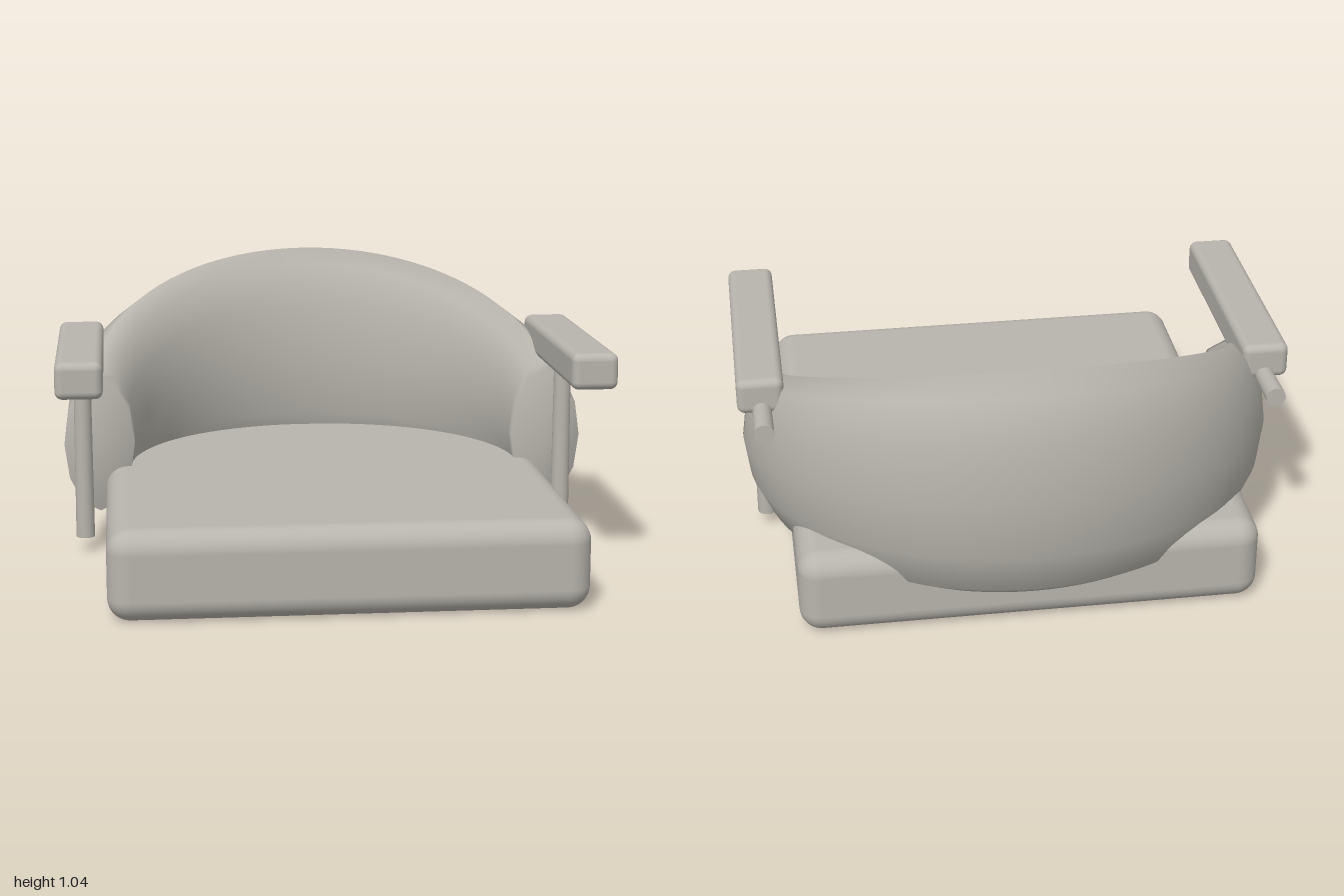
import * as THREE from 'three';
import { RoundedBoxGeometry } from 'three/addons/geometries/RoundedBoxGeometry.js';

const upholstery = new THREE.MeshStandardMaterial({ color: 0xb8b5ad });
upholstery.name = 'warm grey';

function addMesh(parent, name, geometry, x = 0, y = 0, z = 0) {
  const mesh = new THREE.Mesh(geometry, upholstery);
  mesh.name = name;
  mesh.position.set(x, y, z);
  parent.add(mesh);
  return mesh;
}

// Half-ring backrest: an elliptical section swept round the seat,
// low at both ends and rising evenly towards the back.
function backrestGeometry(arcSteps = 48, sides = 12) {
  const positions = [];
  const index = [];
  const endZ = -0.02;
  const bottom = 0.15;
  for (let i = 0; i <= arcSteps; i++) {
    const a = (i / arcSteps) * Math.PI;
    const s = Math.sin(a);
    const halfWidth = 0.132 + 0.015 * s;
    const top = 0.665 + 0.375 * s;
    const halfHeight = (top - bottom) / 2;
    for (let j = 0; j < sides; j++) {
      const b = (j / sides) * Math.PI * 2;
      const u = halfWidth * Math.cos(b);
      positions.push(
        (0.853 + u) * Math.cos(a),
        bottom + halfHeight * (1 + Math.sin(b)),
        endZ - (0.807 + u) * s
      );
    }
  }
  const at = (i, j) => i * sides + (j % sides);
  for (let i = 0; i < arcSteps; i++) {
    for (let j = 0; j < sides; j++) {
      index.push(at(i, j), at(i + 1, j), at(i, j + 1));
      index.push(at(i + 1, j), at(i + 1, j + 1), at(i, j + 1));
    }
  }
  // Close the two front ends
  for (const [ring, x] of [[0, 0.853], [arcSteps, -0.853]]) {
    const centre = positions.length / 3;
    positions.push(x, 0.4075, endZ);
    for (let j = 0; j < sides; j++) {
      index.push(centre, at(ring, j + (ring ? 1 : 0)), at(ring, j + (ring ? 0 : 1)));
    }
  }
  // Normals are shared with the ends for a soft, padded look
  const geometry = new THREE.BufferGeometry();
  geometry.setAttribute('position', new THREE.Float32BufferAttribute(positions, 3));
  geometry.setIndex(index);
  geometry.computeVertexNormals();
  return geometry;
}

export function createModel() {
  const model = new THREE.Group();
  model.name = 'armchair';

  addMesh(model, 'seat', new RoundedBoxGeometry(1.66, 0.32, 1.76, 5, 0.08), 0, 0.16, 0.09);
  addMesh(model, 'backrest', backrestGeometry());

  // Arm pads with their bent tube supports
  for (const side of [1, -1]) {
    const arm = new THREE.Group();
    arm.name = side > 0 ? 'leftArm' : 'rightArm';
    const x = 0.913 * side;
    addMesh(arm, 'armrest', new RoundedBoxGeometry(0.168, 0.132, 0.925, 4, 0.028), 0.916 * side, 0.756, 0.082);
    addMesh(arm, 'post', new THREE.CylinderGeometry(0.032, 0.035, 0.65, 20), x, 0.38, -0.008);
    const rail = addMesh(arm, 'rail', new THREE.CylinderGeometry(0.029, 0.036, 0.545, 20), x, 0.704, -0.2725);
    rail.rotation.x = -Math.PI / 2;
    model.add(arm);
  }
  // Wide end of each rail points to the back
  model.traverse((o) => {
    if (o.name === 'rail') o.rotation.x = Math.PI / 2;
  });
  return model;
}
